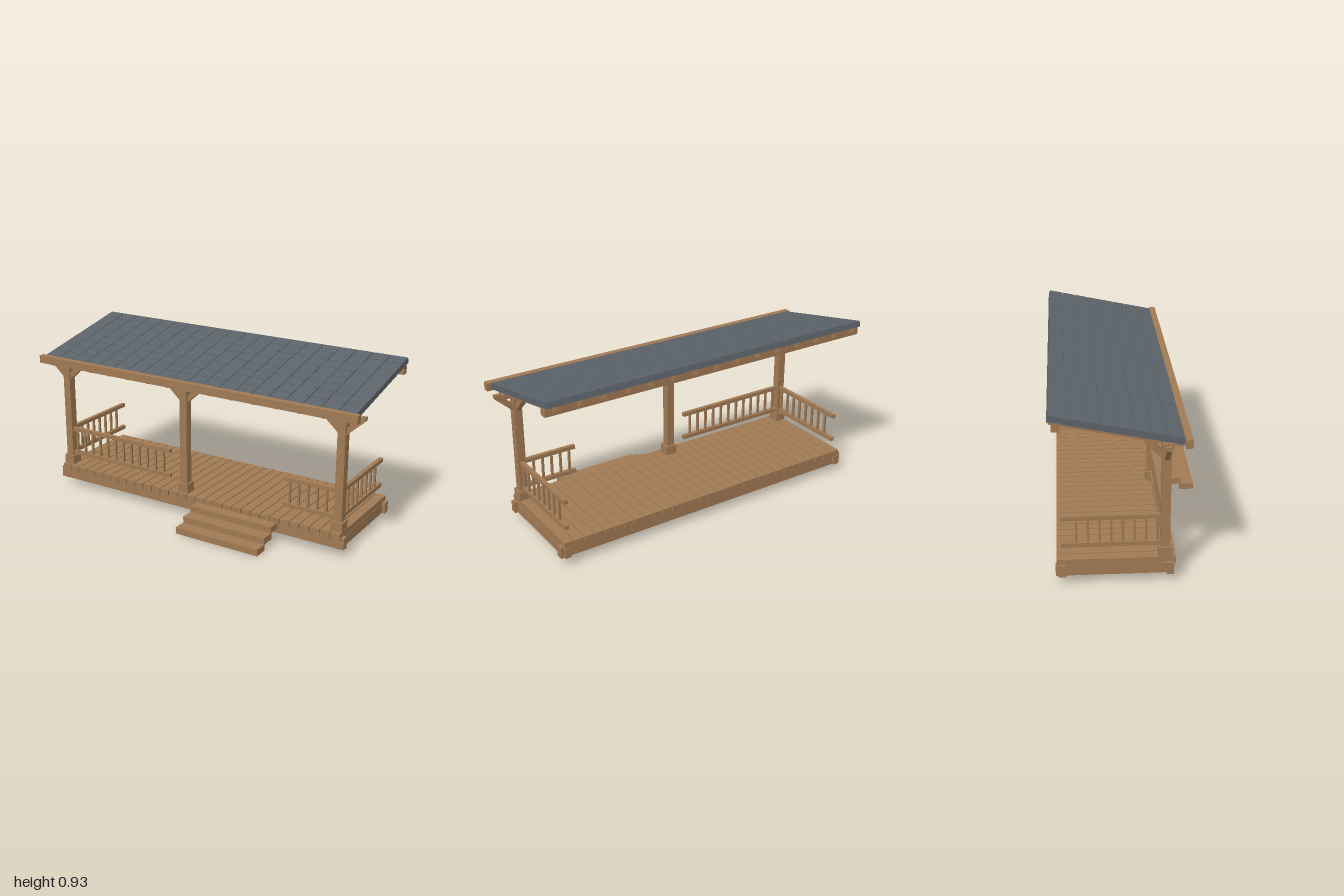
import * as THREE from 'three';

export function createModel() {
  const model = new THREE.Group();
  const wood = new THREE.MeshStandardMaterial({ color: 0xa07a54 });
  wood.name = 'wood';
  const slate = new THREE.MeshStandardMaterial({ color: 0x5b636a });
  slate.name = 'slate';

  const group = (name, parent = model) => {
    const g = new THREE.Group();
    g.name = name;
    parent.add(g);
    return g;
  };

  // Box given by its minimum and maximum on each axis
  const box = (parent, name, [x0, x1], [y0, y1], [z0, z1], mat = wood) => {
    const m = new THREE.Mesh(new THREE.BoxGeometry(x1 - x0, y1 - y0, z1 - z0), mat);
    m.position.set((x0 + x1) / 2, (y0 + y1) / 2, (z0 + z1) / 2);
    m.name = name;
    parent.add(m);
    return m;
  };
  const around = (c, w) => [c - w / 2, c + w / 2];

  // Deck frame: front and back beams run past the side beams
  const deck = group('deck');
  box(deck, 'frontFrameBeam', [-0.93, 0.93], [0.047, 0.11], [0.155, 0.192]);
  box(deck, 'backFrameBeam', [-0.93, 0.93], [0.047, 0.11], [-0.375, -0.338]);
  for (const s of [-1, 1]) {
    box(deck, 'sideFrameBeam', around(s * 0.895, 0.035), [0.047, 0.101], [-0.389, 0.194]);
  }

  // Deck planks
  const planks = 31, pitch = 1.826 / planks;
  for (let i = 0; i < planks; i++) {
    const x = (i - (planks - 1) / 2) * pitch;
    box(deck, 'plank', around(x, pitch - 0.005), [0.101, 0.135], [-0.384, 0.203]);
  }

  // Steps
  const steps = group('steps');
  for (let i = 0; i < 3; i++) {
    const z = 0.33 - i * 0.073;
    box(steps, 'step', [0.04, 0.545], [i * 0.0357, i * 0.0357 + 0.036], [z, z + 0.078]);
  }

  // Diagonal brace; its local +x points away from the post
  const braceShape = new THREE.Shape(
    [[0, 0.66], [0.097, 0.748], [0.097, 0.768], [0.073, 0.768], [0, 0.7]]
      .map(([x, y]) => new THREE.Vector2(x, y)));
  const kneeShape = new THREE.Shape(
    [[0, 0.66], [0.118, 0.787], [0.108, 0.793], [0.06, 0.783], [0, 0.699]]
      .map(([x, y]) => new THREE.Vector2(x, y)));
  const brace = (parent, name, shape, x, z, angle) => {
    const geo = new THREE.ExtrudeGeometry(shape, { depth: 0.024, bevelEnabled: false });
    geo.translate(0.022, 0, -0.012);
    const m = new THREE.Mesh(geo, wood);
    m.position.set(x, 0, z);
    m.rotation.y = angle;
    m.name = name;
    parent.add(m);
  };

  // Posts with plinths and braces
  for (const x of [-0.88, -0.065, 0.88]) {
    const post = group('post');
    box(post, 'postShaft', around(x, 0.045), [0.135, 0.75], around(0.15, 0.045));
    box(post, 'postBase', around(x, 0.065), [0.135, 0.187], around(0.15, 0.066));
    brace(post, 'sideBrace', braceShape, x, 0.15, 0);
    brace(post, 'sideBrace', braceShape, x, 0.15, Math.PI);
    brace(post, 'rearBrace', kneeShape, x, 0.15, Math.PI / 2);
  }

  // Railings: two rails with balusters, along x or along z
  const railing = (name, alongX, from, to, fixed, first, gap, count) => {
    const g = group(name);
    const bar = (n, span, ys, t) => alongX
      ? box(g, n, span, ys, around(fixed, t))
      : box(g, n, around(fixed, t), ys, span);
    bar('bottomRail', [from, to], [0.193, 0.215], 0.022);
    bar('topRail', [from, to], [0.34, 0.362], 0.022);
    for (let i = 0; i < count; i++) {
      bar('baluster', around(first + i * gap, 0.012), [0.215, 0.34], 0.012);
    }
  };
  railing('frontRailingRight', true, -0.86, -0.165, 0.15, -0.835, 0.0565, 12);
  railing('frontRailingLeft', true, 0.555, 0.86, 0.15, 0.59, 0.0535, 6);
  for (const s of [-1, 1]) {
    railing('sideRailing', false, -0.36, 0.13, s * 0.88, -0.284, 0.0568, 8);
  }

  // Horizontal roof timbers
  const roof = group('roof');
  box(roof, 'postBeam', [-0.96, 0.96], [0.742, 0.769], around(0.15, 0.054));
  box(roof, 'frontFascia', [-1, 1], [0.762, 0.805], [0.225, 0.26]);
  box(roof, 'backBeam', [-0.98, 0.98], [0.852, 0.895], [-0.39, -0.35]);

  // Sloping roof: local y = 0 is the tile surface
  const slope = group('slope', roof);
  slope.position.set(0, 0.8695, -0.089);
  slope.rotation.x = 0.205;
  const half = 0.321;
  box(slope, 'roofDeck', [-0.979, 0.979], [-0.032, -0.008], [-half, half], slate);
  for (let i = 0; i < 15; i++) {
    box(slope, 'rafter', around((i - 7) * 0.1329, 0.022), [-0.059, -0.032], [-0.31, 0.328]);
  }

  // Roof tiles
  const cols = 20, rows = 8, w = 1.962 / cols, d = (2 * half) / rows;
  for (let c = 0; c < cols; c++) {
    for (let r = 0; r < rows; r++) {
      box(slope, 'tile', around((c - (cols - 1) / 2) * w, w - 0.004), [-0.012, 0],
        around((r - (rows - 1) / 2) * d, d - 0.003), slate);
    }
  }
  return model;
}
